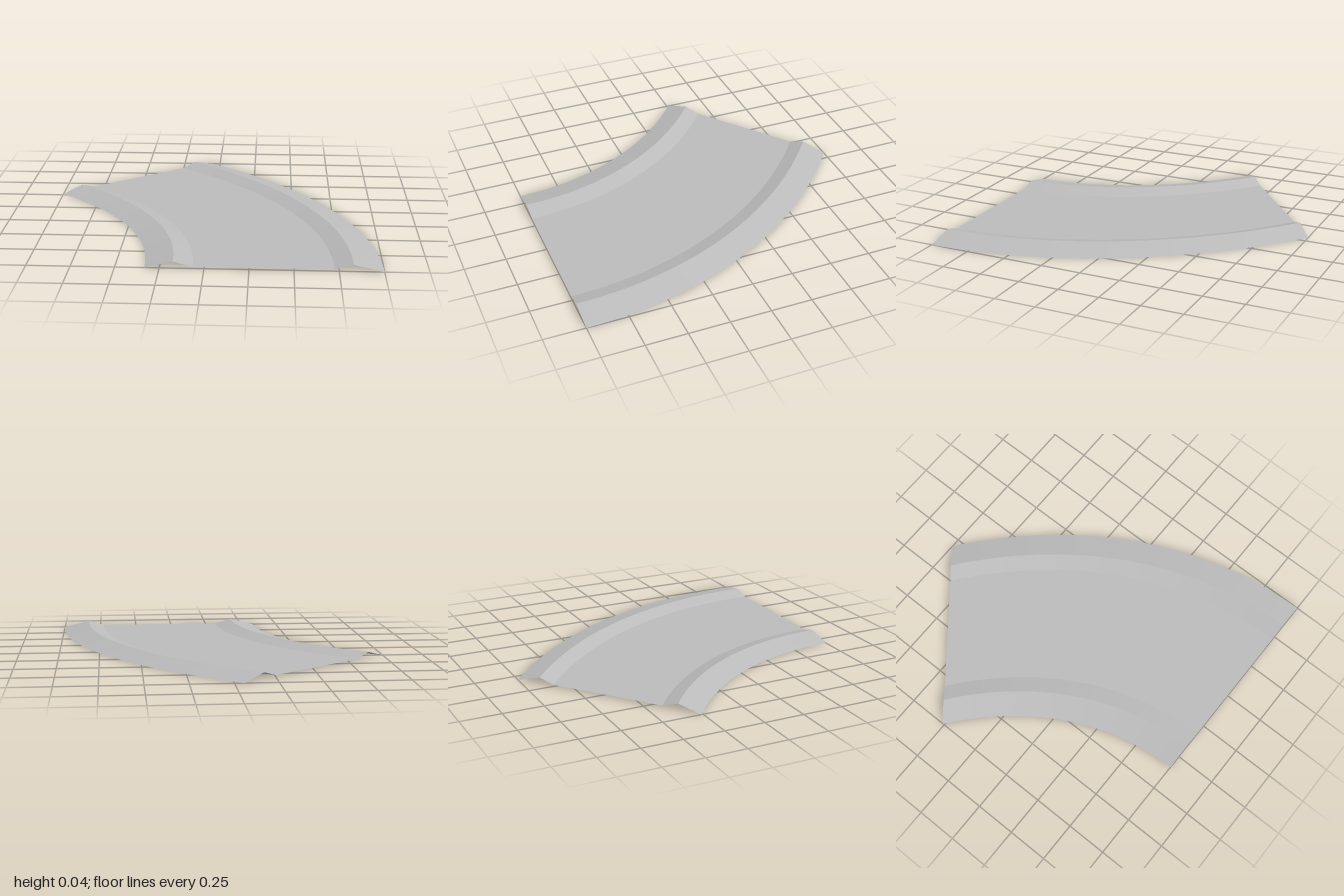
import * as THREE from 'three';

const CENTRE_X = -2.61;      // centre of the bend, on the line z = 1
const SQUASH = 0.7835;       // depth scale of the bend
const SWEEP = Math.PI / 4;
const STEPS = 32;

// Open strip swept round the bend between two profile points [radius, height]
function sweptStrip(inner, outer) {
  const pos = [], idx = [];
  for (let i = 0; i <= STEPS; i++) {
    const t = (SWEEP * i) / STEPS;
    for (const [r, y] of [inner, outer]) {
      pos.push(CENTRE_X + r * Math.cos(t), y, 1 - SQUASH * r * Math.sin(t));
    }
    if (i < STEPS) {
      const a = i * 2;
      idx.push(a, a + 1, a + 3, a, a + 3, a + 2);
    }
  }
  const g = new THREE.BufferGeometry();
  g.setAttribute('position', new THREE.Float32BufferAttribute(pos, 3));
  g.setIndex(idx);
  g.computeVertexNormals();
  return g;
}

export function createModel() {
  const group = new THREE.Group();
  group.name = 'curvedRoad';
  const grey = new THREE.MeshStandardMaterial({ color: 0xbcbcbc, side: THREE.DoubleSide });
  grey.name = 'grey';

  // Cross-section from the inside of the bend to the outside
  const profile = [
    [2.275, 0], [2.435, 0.04], [2.545, 0.01],
    [3.335, 0.01], [3.44, 0.04], [3.61, 0],
  ];
  const names = ['innerBankOutside', 'innerBankRoadside', 'roadSurface',
    'outerBankRoadside', 'outerBankOutside'];

  names.forEach((name, i) => {
    const mesh = new THREE.Mesh(sweptStrip(profile[i], profile[i + 1]), grey);
    mesh.name = name;
    group.add(mesh);
  });
  return group;
}
